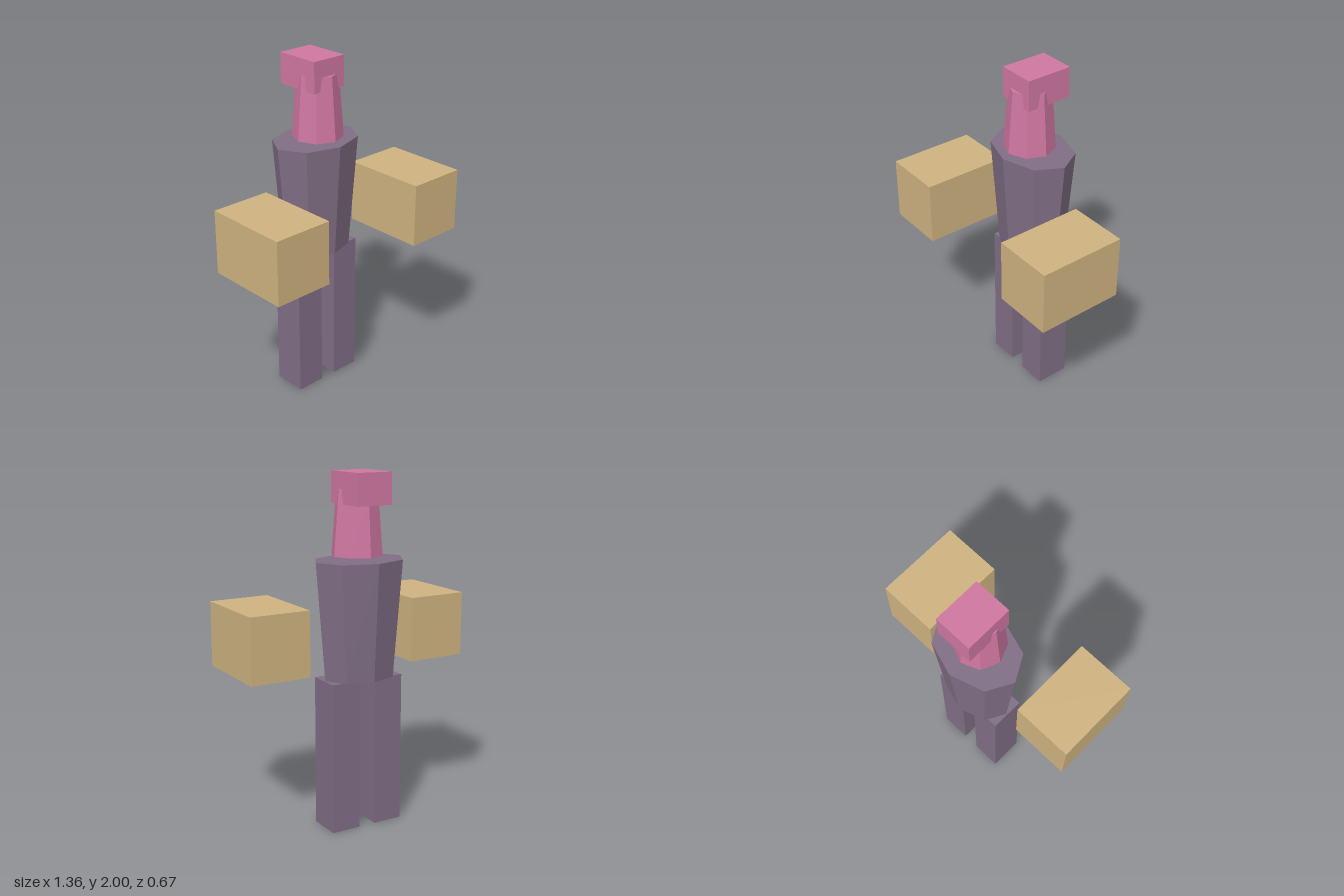
import * as THREE from 'three';

function material(name, color) {
  const m = new THREE.MeshStandardMaterial({ color, flatShading: true });
  m.name = name;
  return m;
}

export function createModel() {
  const model = new THREE.Group();
  model.name = 'figure';
  const mauve = material('mauve', 0x806e85);
  const pink = material('pink', 0xd077a1);
  const tan = material('tan', 0xcfb380);

  const add = (name, geometry, mat, x, y, z) => {
    const mesh = new THREE.Mesh(geometry, mat);
    mesh.name = name;
    mesh.position.set(x, y, z);
    model.add(mesh);
    return mesh;
  };

  // Legs and detached arm blocks, mirrored
  for (const [side, s] of [['left', 1], ['right', -1]]) {
    add(side + 'Leg', new THREE.BoxGeometry(0.174, 0.865, 0.196), mauve, s * 0.137, 0.4325, -0.13);
    add(side + 'Arm', new THREE.BoxGeometry(0.352, 0.37, 0.506), tan, s * 0.506, 1.096, 0.082);
  }

  // Eight-sided torso, widening upward and flattened front to back
  const torso = new THREE.CylinderGeometry(0.271, 0.216, 0.66, 8);
  torso.scale(1, 1, 0.75);
  add('torso', torso, mauve, 0, 1.195, -0.133);

  // Tapered head floating just above the torso
  add('head', new THREE.CylinderGeometry(0.116, 0.144, 0.36, 8), pink, 0, 1.725, -0.111);

  // Block cap, shifted to the back
  add('hair', new THREE.BoxGeometry(0.216, 0.174, 0.271), pink, 0, 1.913, -0.152);

  return model;
}
